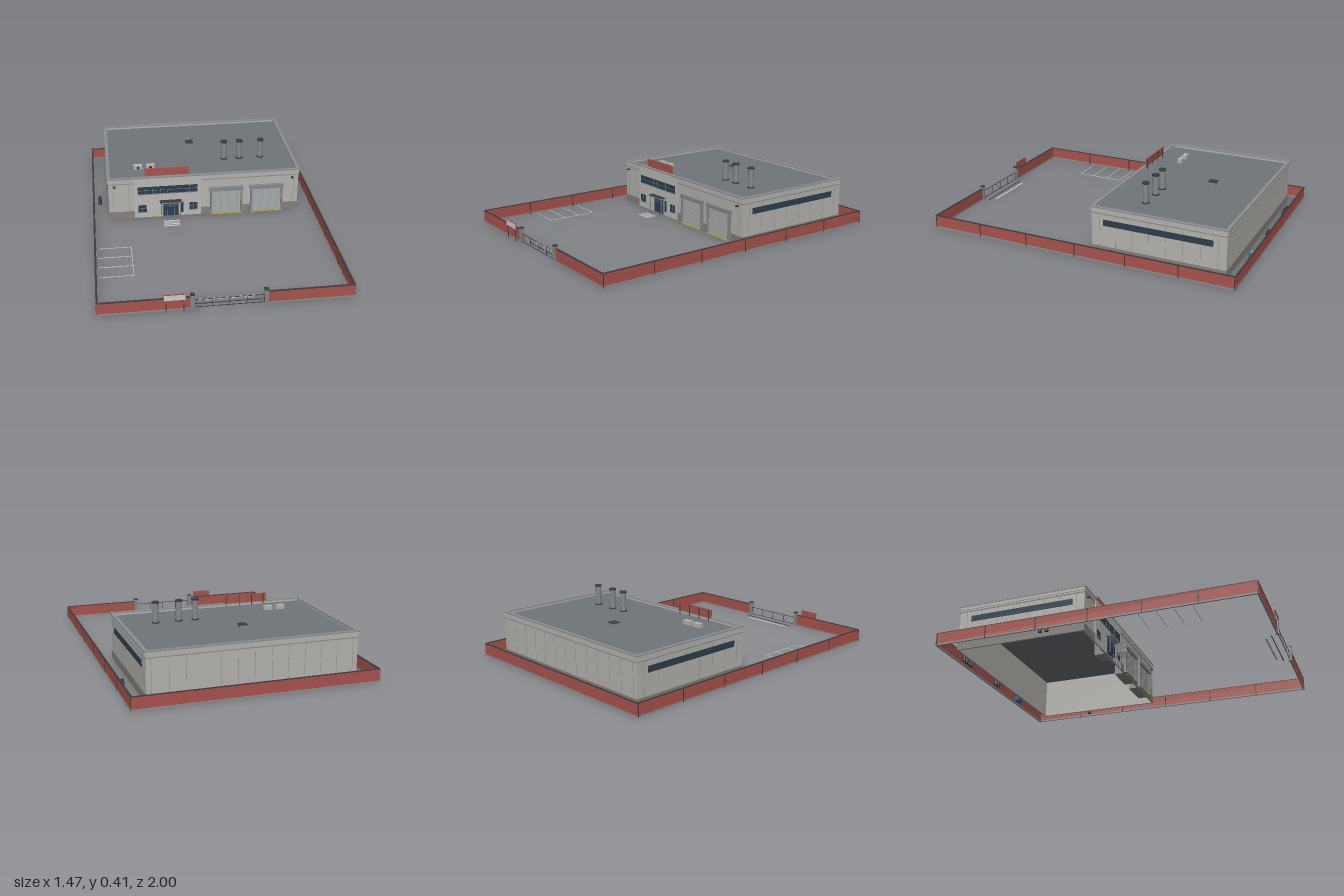
import * as THREE from 'three';

const mat = (color) => new THREE.MeshStandardMaterial({ color });
const M = {
  wall: mat(0xb4b3ae), bay: mat(0xbab9b4), trim: mat(0x8b8f91), plinth: mat(0x85817b),
  roof: mat(0x70757a), red: mat(0xa8524b), glass: mat(0x2c3e50), dark: mat(0x3a3d40),
  metal: mat(0x85898c), door: mat(0xa5a8a8), yellow: mat(0xb39b3a), line: mat(0xcccccc),
  blue: mat(0x3f5f95),
};

export function createModel() {
  const root = new THREE.Group();
  let parent = root;
  const group = (name) => {
    parent = new THREE.Group();
    parent.name = name;
    root.add(parent);
    return parent;
  };
  const add = (name, geo, m) => {
    const mesh = new THREE.Mesh(geo, m);
    mesh.name = name;
    parent.add(mesh);
    return mesh;
  };
  // Box given by its extents on each axis
  const box = (name, x0, x1, y0, y1, z0, z1, m) => {
    const b = add(name, new THREE.BoxGeometry(x1 - x0, y1 - y0, z1 - z0), m);
    b.position.set((x0 + x1) / 2, (y0 + y1) / 2, (z0 + z1) / 2);
    return b;
  };
  const cyl = (name, x, y0, y1, z, r, m, n = 16) => {
    const c = add(name, new THREE.CylinderGeometry(r, r, y1 - y0, n), m);
    c.position.set(x, (y0 + y1) / 2, z);
    return c;
  };
  // Rectangular ring of four walls, from an outer rectangle and a thickness
  const ring = (name, X, z0, z1, y0, y1, t, m) => {
    box(name, -X, X, y0, y1, z0, z0 + t, m);
    box(name, -X, X, y0, y1, z1 - t, z1, m);
    for (const s of [-1, 1]) {
      const a = s * X, b = s * (X - t);
      box(name, Math.min(a, b), Math.max(a, b), y0, y1, z0 + t, z1 - t, m);
    }
  };

  // Building shell, open underneath
  const W = 0.63, ZB = -0.91, ZF = -0.075;
  group('building');
  ring('wall', W, ZB, ZF, 0, 0.275, 0.008, M.wall);
  ring('plinth', W + 0.003, ZB - 0.003, ZF + 0.003, 0, 0.05, 0.006, M.plinth);
  ring('corniceBand', W + 0.003, ZB - 0.003, ZF + 0.003, 0.252, 0.258, 0.006, M.trim);
  ring('parapet', W + 0.004, ZB - 0.004, ZF + 0.004, 0.268, 0.288, 0.018, M.wall);
  ring('parapetCap', W + 0.007, ZB - 0.007, ZF + 0.007, 0.288, 0.295, 0.022, M.trim);
  box('roofDeck', -W + 0.008, W - 0.008, 0.262, 0.276, ZB + 0.008, ZF - 0.008, M.roof);
  // Panel seams
  for (let i = 0; i <= 12; i++) {
    const x = -0.6 + i * 0.1;
    box('seam', x - 0.001, x + 0.001, 0.05, 0.252, ZB - 0.001, ZB, M.trim);
    if (x < -0.48 || x > 0.54) box('seam', x - 0.001, x + 0.001, 0.05, 0.252, ZF, ZF + 0.001, M.trim);
  }
  for (let i = 0; i <= 7; i++) {
    const z = -0.86 + i * 0.105;
    for (const s of [-1, 1]) box('seam', s * W - 0.001, s * W + 0.001, 0.05, 0.252, z - 0.001, z + 0.001, M.trim);
  }
  // Ribbon windows on both ends
  for (const s of [-1, 1]) {
    const x = s * W;
    box('sideWindow', x - 0.003, x + 0.003, 0.182, 0.22, -0.828, -0.153, M.glass);
    box('sideWindowBar', x - 0.004, x + 0.004, 0.2, 0.202, -0.828, -0.153, M.dark);
    for (let i = 0; i <= 10; i++) {
      const z = -0.828 + i * 0.0675;
      box('sideMullion', x - 0.004, x + 0.004, 0.182, 0.22, z - 0.001, z + 0.001, M.dark);
    }
  }

  // Office front
  group('officeFront');
  box('officeBay', -0.465, -0.022, 0, 0.285, ZF, ZF + 0.005, M.bay);
  const FZ = ZF + 0.005;
  const frontWindow = (x0, x1, y0, y1, n) => {
    box('frontWindow', x0, x1, y0, y1, FZ, FZ + 0.002, M.glass);
    const ym = (y0 + y1) / 2;
    box('windowBar', x0, x1, ym - 0.001, ym + 0.001, FZ, FZ + 0.003, M.metal);
    for (let i = 1; i < n; i++) {
      const x = x0 + ((x1 - x0) * i) / n;
      box('mullion', x - 0.001, x + 0.001, y0, y1, FZ, FZ + 0.003, M.metal);
    }
    box('sill', x0 - 0.003, x1 + 0.003, y0 - 0.004, y0, FZ, FZ + 0.006, M.metal);
  };
  frontWindow(-0.44, -0.048, 0.175, 0.227, 8);
  frontWindow(-0.44, -0.385, 0.042, 0.093, 2);
  frontWindow(-0.1, -0.046, 0.042, 0.093, 2);
  box('wallPlaque', -0.16, -0.14, 0.025, 0.102, FZ, FZ + 0.003, M.glass);

  // Entrance with canopy
  group('entrance');
  box('entranceBlock', -0.28, -0.17, 0, 0.108, -0.15, FZ + 0.003, M.metal);
  for (let i = 0; i < 4; i++) {
    const x = -0.275 + i * 0.0255;
    box('doorGlass', x, x + 0.0235, 0.005, 0.08, FZ + 0.003, FZ + 0.005, M.glass);
    box('transom', x, x + 0.0235, 0.084, 0.104, FZ + 0.003, FZ + 0.005, M.glass);
  }
  box('canopy', -0.298, -0.155, 0.111, 0.119, ZF, -0.035, M.trim);
  box('canopyEdge', -0.298, -0.155, 0.119, 0.122, ZF, -0.034, M.dark);
  for (const x of [-0.289, -0.164]) cyl('canopyPost', x, 0, 0.111, -0.042, 0.003, M.metal, 8);
  for (let i = 0; i < 4; i++) box('walkStripe', -0.28, -0.175, 0, 0.002, 0.021 * i - 0.008, 0.021 * i + 0.002, M.line);

  // Loading doors
  for (const [x0, x1] of [[0.037, 0.253], [0.307, 0.525]]) {
    group('loadingDoor');
    box('doorRecess', x0 + 0.012, x1 - 0.012, 0, 0.18, -0.14, -0.07, M.metal);
    box('doorJamb', x0, x0 + 0.013, 0, 0.175, ZF, -0.056, M.metal);
    box('doorJamb', x1 - 0.013, x1, 0, 0.175, ZF, -0.056, M.metal);
    box('doorHeader', x0 - 0.004, x1 + 0.004, 0.172, 0.196, ZF, -0.052, M.metal);
    for (let i = 0; i < 11; i++) {
      box('shutterSlat', x0 + 0.013, x1 - 0.013, 0.004 + i * 0.0153, 0.0175 + i * 0.0153, -0.072, -0.064, M.door);
    }
    box('threshold', x0, x1, 0, 0.004, -0.064, -0.05, M.yellow);
  }
  // Wall lamps
  group('wallLamps');
  for (const x of [-0.59, 0.587]) box('wallLamp', x - 0.007, x + 0.007, 0.233, 0.242, ZF, -0.057, M.dark);

  // Roof equipment
  group('roofEquipment');
  for (const x of [0.165, 0.27, 0.415]) {
    cyl('chimney', x, 0.27, 0.4, -0.325, 0.018, M.metal, 20);
    cyl('chimneyCap', x, 0.398, 0.408, -0.325, 0.022, M.dark, 20);
    cyl('chimneyFlange', x, 0.276, 0.283, -0.325, 0.023, M.dark, 20);
  }
  box('roofVent', -0.068, -0.022, 0.276, 0.294, -0.603, -0.557, M.metal);
  box('roofVentCap', -0.071, -0.019, 0.294, 0.298, -0.606, -0.554, M.dark);
  for (const x of [-0.425, -0.342]) {
    box('coolingUnit', x - 0.028, x + 0.028, 0.276, 0.303, -0.26, -0.23, M.wall);
    const fan = cyl('coolingFan', x, 0, 0.002, -0.229, 0.01, M.dark);
    fan.rotation.x = Math.PI / 2;
    fan.position.y = 0.289;
  }
  box('roofSign', -0.39, -0.103, 0.296, 0.348, -0.097, -0.091, M.red);
  for (const x of [-0.37, -0.29, -0.205, -0.12]) box('signPost', x - 0.002, x + 0.002, 0.276, 0.345, -0.101, -0.097, M.dark);

  // Perimeter wall with a gap for the gate
  group('perimeterWall');
  const X = 0.735, Z0 = -1, Z1 = 0.98, t = 0.008;
  const wallRun = (x0, x1, z0, z1) => {
    box('wallFooting', x0 - 0.001, x1 + 0.001, 0, 0.01, z0 - 0.001, z1 + 0.001, M.trim);
    box('wallPanel', x0, x1, 0.01, 0.078, z0, z1, M.red);
    box('wallCoping', x0 - 0.001, x1 + 0.001, 0.078, 0.082, z0 - 0.001, z1 + 0.001, M.dark);
  };
  wallRun(-X, X, Z0, Z0 + t);
  wallRun(-X, -0.207, Z1 - t, Z1);
  wallRun(0.23, X, Z1 - t, Z1);
  for (const s of [-1, 1]) {
    const xc = s * (X - t / 2);
    wallRun(xc - t / 2, xc + t / 2, Z0 + t, Z1 - t);
    for (let i = 0; i <= 6; i++) {
      const z = Z0 + 0.005 + (i * (Z1 - Z0 - 0.01)) / 6;
      box('wallPier', xc - 0.0055, xc + 0.0055, 0, 0.08, z - 0.003, z + 0.003, M.dark);
    }
  }

  // Lattice gate
  group('gate');
  for (const x of [-0.2, 0.22]) {
    box('gatePillar', x - 0.011, x + 0.011, 0, 0.094, 0.965, 0.987, M.metal);
    box('pillarCap', x - 0.013, x + 0.013, 0.094, 0.099, 0.963, 0.989, M.dark);
  }
  const gx0 = -0.189, gx1 = 0.209, n = 8, dx = (gx1 - gx0) / n;
  for (const y of [0.008, 0.058]) box('gateRail', gx0, gx1, y - 0.0015, y + 0.0015, 0.974, 0.977, M.dark);
  for (let i = 0; i <= n; i++) {
    const x = gx0 + i * dx;
    if (i % 2 === 0) box('gateUpright', x - 0.0012, x + 0.0012, 0.005, 0.06, 0.974, 0.977, M.dark);
    if (i < n) {
      const brace = add('gateBrace', new THREE.BoxGeometry(Math.hypot(dx, 0.05), 0.002, 0.002), M.metal);
      brace.position.set(x + dx / 2, 0.033, 0.9755);
      brace.rotation.z = (i % 2 ? -1 : 1) * Math.atan2(0.05, dx);
    }
  }
  box('gateTrack', -0.19, 0.21, 0, 0.003, 0.934, 0.939, M.dark);
  box('stopLine', -0.16, 0.175, 0, 0.002, 0.893, 0.905, M.line);

  // Blank notice board by the gate
  group('noticeBoard');
  box('boardFrame', -0.365, -0.237, 0.076, 0.117, 0.992, 0.997, M.red);
  box('boardFace', -0.361, -0.241, 0.079, 0.112, 0.997, 0.999, M.line);
  for (const x of [-0.35, -0.25]) box('boardLeg', x - 0.002, x + 0.002, 0, 0.078, 0.992, 0.996, M.dark);

  // Parking bays
  group('parking');
  for (const z of [0.29, 0.396, 0.502, 0.608]) box('bayLine', -0.717, -0.508, 0, 0.002, z - 0.002, z + 0.002, M.line);
  box('bayEndLine', -0.51, -0.506, 0, 0.002, 0.288, 0.61, M.line);

  // Drums and a crate in the yard
  group('yardItems');
  const drums = [[-0.465, -0.957], [-0.435, -0.957], [-0.406, -0.957], [-0.377, -0.957], [-0.045, -0.957],
    [-0.016, -0.957], [0.685, -0.58], [-0.69, -0.327], [-0.69, -0.285]];
  for (const [x, z] of drums) {
    cyl('drum', x, 0, 0.034, z, 0.0115, M.dark);
    for (const y of [0.011, 0.022]) cyl('drumHoop', x, y, y + 0.001, z, 0.0122, M.metal);
  }
  box('crate', 0.258, 0.323, 0, 0.03, -0.972, -0.942, M.blue);
  box('crateLid', 0.268, 0.313, 0.03, 0.034, -0.967, -0.947, M.metal);

  return root;
}
